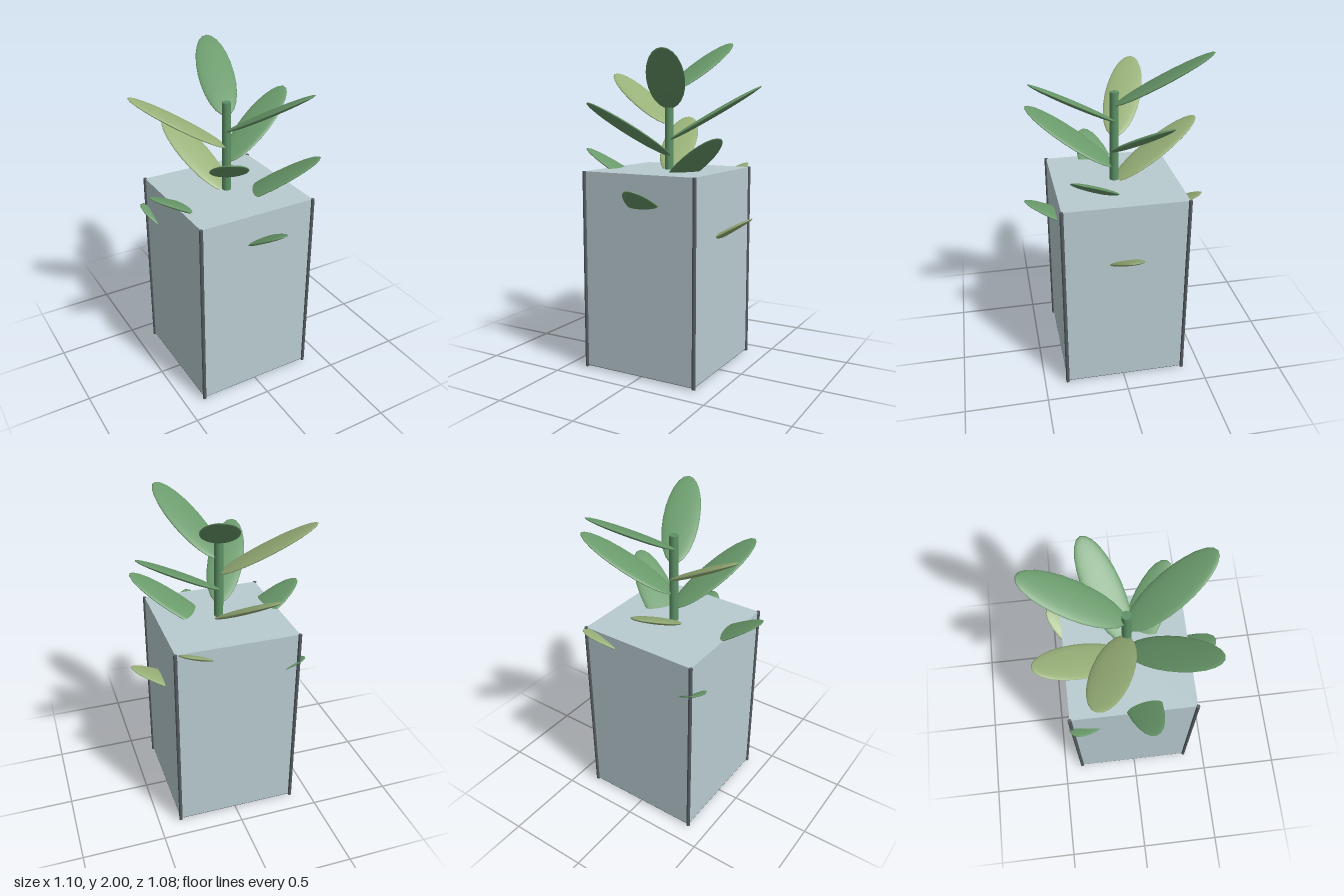
import * as THREE from 'three';

const mat = (name, color) => {
  const m = new THREE.MeshStandardMaterial({ color });
  m.name = name;
  return m;
};

export function createModel() {
  const glass = mat('pale glass', 0xb8cbd0);
  const metal = mat('dark metal', 0x555c61);
  const green = mat('leaf green', 0x69996a);
  const olive = mat('young leaf green', 0x98b078);
  const stemGreen = mat('stem green', 0x5c9065);

  const root = new THREE.Group();
  root.name = 'pottedPlant';
  const model = new THREE.Group();
  model.name = 'plantAndCase';
  model.position.set(-0.005, 0, -0.01);
  root.add(model);

  const add = (name, geometry, material, x, y, z, parent = model) => {
    const mesh = new THREE.Mesh(geometry, material);
    mesh.name = name;
    mesh.position.set(x, y, z);
    parent.add(mesh);
    return mesh;
  };

  // Square case with a dark underside and a round foot
  const half = 0.37;
  add('case', new THREE.BoxGeometry(half * 2, 1.199, half * 2), glass, 0, 0.6155, 0);
  add('underside', new THREE.BoxGeometry(half * 2, 0.003, half * 2), metal, 0, 0.0145, 0);
  add('foot', new THREE.CylinderGeometry(0.237, 0.22, 0.014, 40), metal, 0, 0.007, 0);

  // Corner posts
  const postGeometry = new THREE.CylinderGeometry(0.011, 0.011, 1.21, 12);
  for (const sx of [-1, 1]) {
    for (const sz of [-1, 1]) {
      add('cornerPost', postGeometry, metal, sx * half, 0.611, sz * half);
    }
  }

  // Stem rising through the case
  add('stem', new THREE.CylinderGeometry(0.026, 0.029, 1.26, 16), stemGreen, 0, 1.13, 0);

  // Flattened oval leaves spiralling down the stem, every third one lighter
  const leafGeometry = new THREE.SphereGeometry(1, 24, 16);
  leafGeometry.scale(0.32, 0.018, 0.11);
  for (let i = 0; i < 12; i++) {
    const branch = new THREE.Group();
    branch.name = 'leafBranch';
    branch.rotation.y = -THREE.MathUtils.degToRad(-73.2 + 137.5 * i);
    model.add(branch);
    const leaf = add('leaf', leafGeometry, i % 3 === 2 ? olive : green, 0.277, 1.84 - 0.0955 * i, 0, branch);
    leaf.rotation.z = THREE.MathUtils.degToRad(30.3);
  }
  return root;
}
